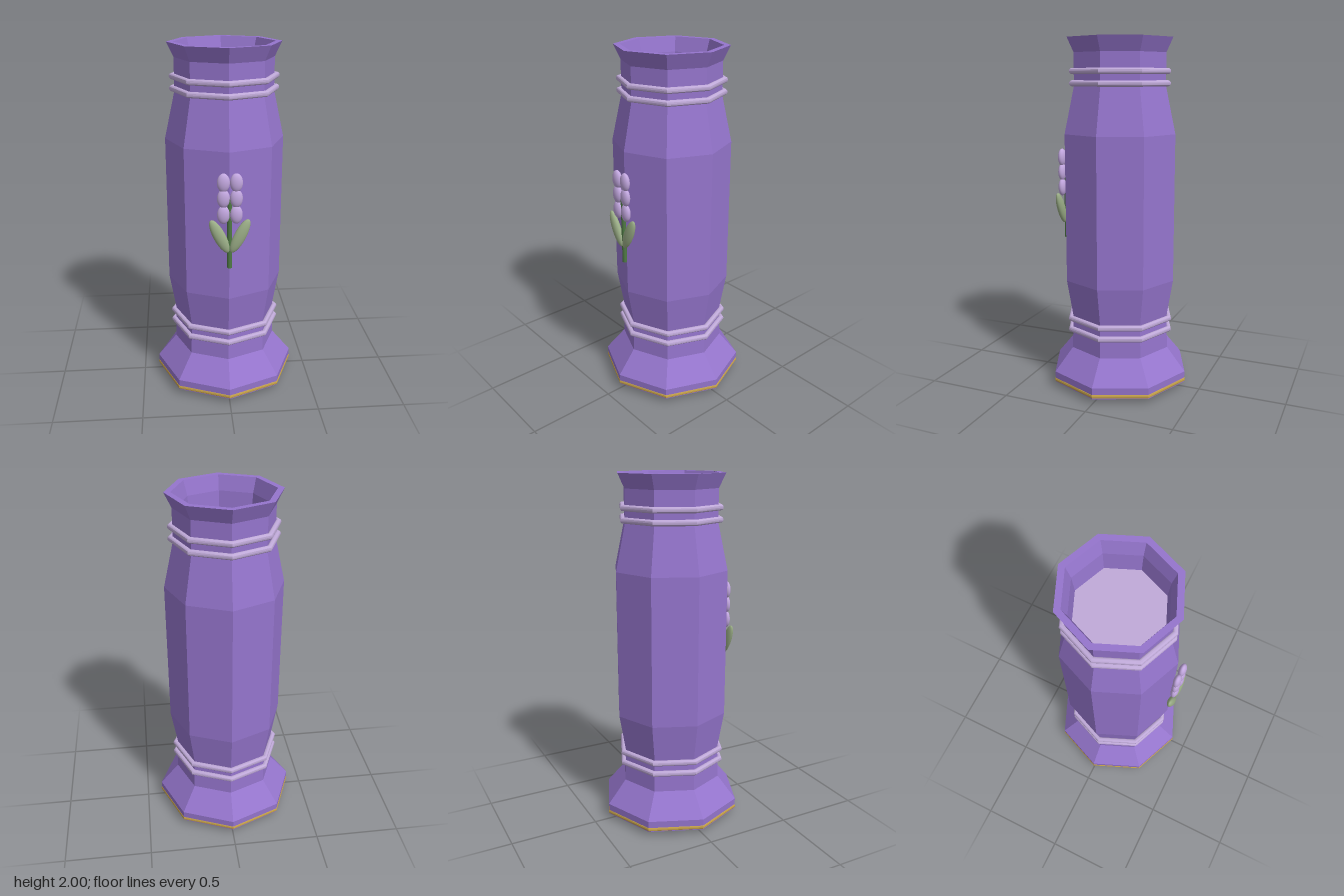
import * as THREE from 'three';
import { toCreasedNormals } from 'three/addons/utils/BufferGeometryUtils.js';

const SIDES = 8;
const paint = (color, extra = {}) => new THREE.MeshStandardMaterial({ color, ...extra });

export function createModel() {
  const vase = new THREE.Group();
  vase.name = 'vase';

  const purple = paint(0x9575cd, { flatShading: true });
  const lavender = paint(0xc0aad9);
  const bud = paint(0xc3a8e0);
  const gold = paint(0xc9a54c);
  const leafGreen = paint(0x9caf88);
  const stemGreen = paint(0x4f7a45);

  const add = (parent, name, geometry, material, x = 0, y = 0, z = 0) => {
    const mesh = new THREE.Mesh(geometry, material);
    mesh.name = name;
    mesh.position.set(x, y, z);
    parent.add(mesh);
    return mesh;
  };

  // Octagonal body: shallow pointed base, outer wall, flared lip and inner neck
  const profile = [
    [0, 0], [0.408, 0.03], [0.41, 0.095], [0.3, 0.23], [0.293, 0.42],
    [0.33, 0.64], [0.33, 1.48], [0.272, 1.74], [0.272, 1.92], [0.31, 2],
    [0.275, 2], [0.25, 1.92], [0.237, 1.78],
  ].map(([r, y]) => new THREE.Vector2(r, y));
  add(vase, 'body', new THREE.LatheGeometry(profile, SIDES), purple);

  // Disc closing the neck
  const disc = add(vase, 'neckFloor', new THREE.CircleGeometry(0.24, SIDES), lavender, 0, 1.8, 0);
  disc.rotation.x = -Math.PI / 2;

  // Octagonal bands, round in section with mitred corners
  const band = (name, outer, tube, y, material) => {
    const g = new THREE.TorusGeometry(outer - tube, tube, 12, SIDES).rotateX(Math.PI / 2);
    add(vase, name, toCreasedNormals(g, 0.6), material, 0, y, 0);
  };
  band('upperNeckBand', 0.3, 0.0165, 1.82, lavender);
  band('lowerNeckBand', 0.3, 0.0165, 1.755, lavender);
  band('upperFootBand', 0.322, 0.0165, 0.41, lavender);
  band('lowerFootBand', 0.322, 0.0165, 0.345, lavender);
  band('baseTrim', 0.413, 0.016, 0.045, gold);

  // Flower sprig on the front edge
  const sprig = new THREE.Group();
  sprig.name = 'flowerSprig';
  vase.add(sprig);
  add(sprig, 'stem', new THREE.CylinderGeometry(0.013, 0.013, 0.4, 12), stemGreen, 0, 1.04, 0.345);

  const ball = new THREE.SphereGeometry(1, 20, 14);
  for (const side of [-1, 1]) {
    const leaf = add(sprig, side > 0 ? 'leftLeaf' : 'rightLeaf', ball, leafGreen, side * 0.055, 1.027, 0.354);
    leaf.scale.set(0.033, 0.105, 0.021);
    leaf.rotation.z = -side * 0.46;
    for (const y of [1.15, 1.24, 1.326]) {
      add(sprig, 'bud', ball, bud, side * 0.034, y, 0.354).scale.set(0.034, 0.051, 0.021);
    }
  }
  return vase;
}
